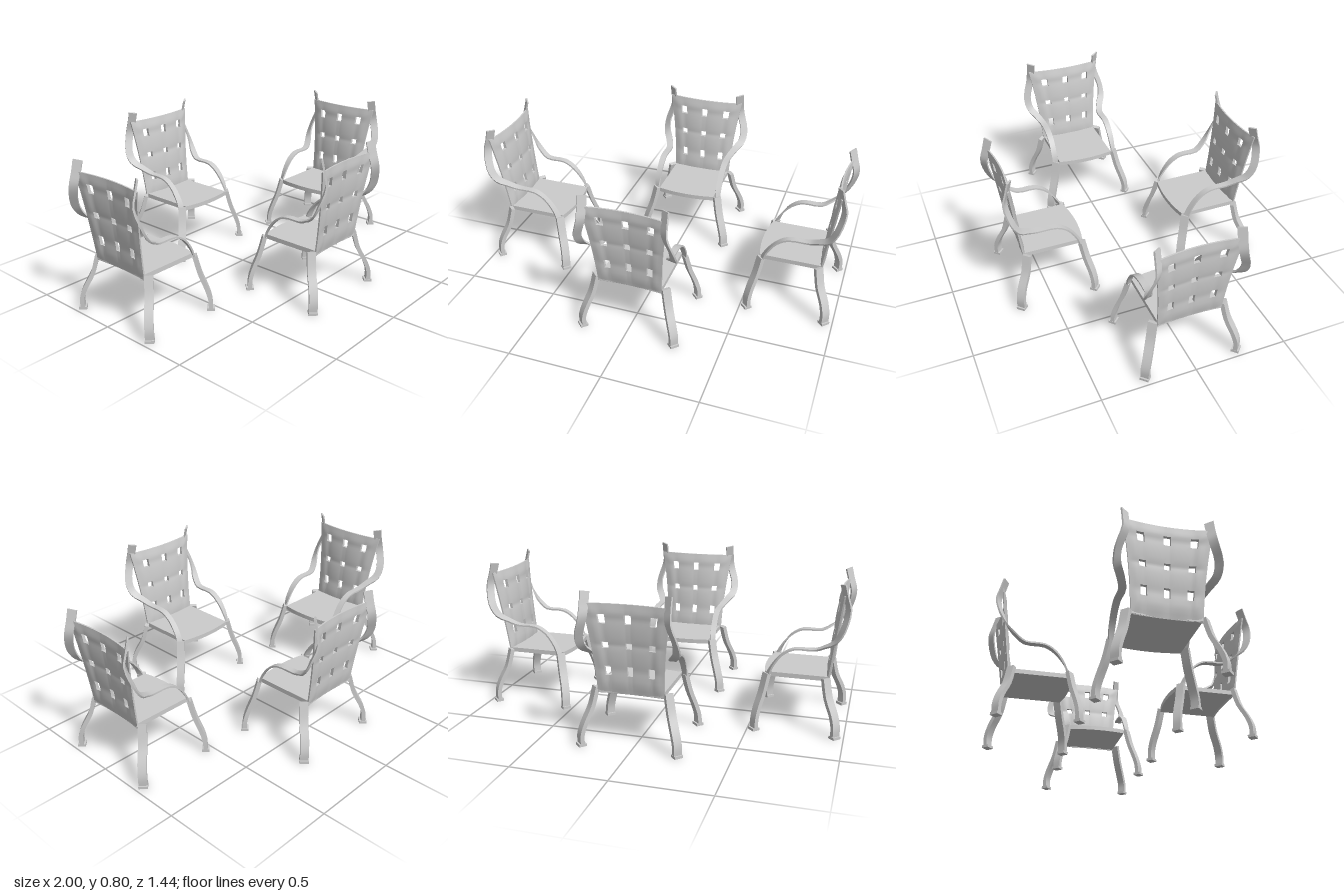
import * as THREE from 'three';
import { toCreasedNormals } from 'three/addons/utils/BufferGeometryUtils.js';

const material = new THREE.MeshStandardMaterial({ color: 0xcccccc, side: THREE.DoubleSide });
const lerp = THREE.MathUtils.lerp;

function fromTriangles(pos) {
  const g = new THREE.BufferGeometry();
  g.setAttribute('position', new THREE.Float32BufferAttribute(pos, 3));
  return toCreasedNormals(g, 0.7);
}

function quad(pos, a, b, c, d) {
  for (const p of [a, b, c, a, c, d]) pos.push(p.x, p.y, p.z);
}

function add(group, name, geometry) {
  const mesh = new THREE.Mesh(geometry, material);
  mesh.name = name;
  group.add(mesh);
  return mesh;
}

// Flat bar swept along a curve; each row is [x, y, z, angle of the width direction in plan]
function sweepBar(rows, side, startWidth, endWidth, thickness, steps = 3) {
  const curve = new THREE.CatmullRomCurve3(rows.map(r => new THREE.Vector3(r[0] * side, r[1], r[2])));
  const count = (rows.length - 1) * steps;
  const rings = [];
  for (let i = 0; i <= count; i++) {
    const t = i / count, k = Math.min(Math.floor(i / steps), rows.length - 2);
    const angle = lerp(rows[k][3], rows[k + 1][3], i / steps - k);
    const width = lerp(startWidth, endWidth, t);
    const p = curve.getPoint(t), tangent = curve.getTangent(t);
    const w = new THREE.Vector3(Math.cos(angle) * side, 0, Math.sin(angle));
    w.addScaledVector(tangent, -w.dot(tangent)).normalize();
    const n = new THREE.Vector3().crossVectors(tangent, w);
    rings.push([[-1, -1], [1, -1], [1, 1], [-1, 1]].map(([a, b]) =>
      p.clone().addScaledVector(w, a * width / 2).addScaledVector(n, b * thickness / 2)));
  }
  const pos = [];
  for (let i = 0; i < count; i++)
    for (let j = 0; j < 4; j++) {
      const m = (j + 1) % 4;
      quad(pos, rings[i][j], rings[i][m], rings[i + 1][m], rings[i + 1][j]);
    }
  const [a, b, c, d] = rings[0], [e, f, g, h] = rings[count];
  quad(pos, d, c, b, a);
  quad(pos, e, f, g, h);
  return fromTriangles(pos);
}

// Quilted back panel: a 7 x 7 layout where odd/odd regions are the openings
function backPanel() {
  const sub = 4, n = 7 * sub;
  const xs = [-1, -0.72, -0.54, -0.085, 0.085, 0.54, 0.72, 1];
  const ys = [0.275, 0.375, 0.425, 0.518, 0.55, 0.645, 0.692, 0.745];
  const at = (list, i) => {
    const k = Math.min(Math.floor(i / sub), 6);
    return lerp(list[k], list[k + 1], i / sub - k);
  };
  const point = (i, j, face) => {
    const s = at(xs, i), y = at(ys, j), v = (y - 0.275) / 0.47;
    const half = 0.172 + 0.012 * v + 0.038 * v * v;
    // Pinched at the openings, padded between them
    const a = Math.cos(Math.PI * (i / sub - 1.5)), b = Math.cos(Math.PI * (j / sub - 1.5));
    const pad = (1 - Math.max(a, 0) * Math.max(b, 0)) * (0.6 - 0.2 * (a + b));
    const edge = Math.max(0, Math.min(1, (1 - Math.abs(s)) * 5, Math.min(v, 1 - v) * 9));
    const z = -0.138 - 0.047 * v - (0.01 + 0.014 * v) * s * s;
    return new THREE.Vector3(s * half, y, z + face * (0.004 + 0.009 * pad * edge));
  };
  const odd = i => Math.floor(i / sub) % 2 === 1;
  const solid = (i, j) => i >= 0 && j >= 0 && i < n && j < n && !(odd(i) && odd(j));
  const pos = [];
  for (let i = 0; i < n; i++)
    for (let j = 0; j < n; j++) {
      if (!solid(i, j)) continue;
      const c = [[i, j], [i + 1, j], [i + 1, j + 1], [i, j + 1]];
      const front = c.map(q => point(...q, 1)), back = c.map(q => point(...q, -1));
      quad(pos, ...front);
      quad(pos, back[3], back[2], back[1], back[0]);
      // Rims along the outside and around the openings
      [[0, -1], [1, 0], [0, 1], [-1, 0]].forEach(([di, dj], k) => {
        const m = (k + 1) % 4;
        if (!solid(i + di, j + dj)) quad(pos, back[k], back[m], front[m], front[k]);
      });
    }
  return fromTriangles(pos);
}

// Seat slab with a bowed front edge
function seatSlab() {
  const s = new THREE.Shape();
  s.moveTo(-0.168, -0.178);
  s.quadraticCurveTo(0, -0.216, 0.168, -0.178);
  s.lineTo(0.168, 0.155);
  s.quadraticCurveTo(0, 0.13, -0.168, 0.155);
  s.closePath();
  const g = new THREE.ExtrudeGeometry(s, { depth: 0.024, bevelEnabled: false, curveSegments: 8 });
  return g.rotateX(-Math.PI / 2).translate(0, 0.278, 0);
}

const Q = Math.PI / 4;
const frontLeg = [
  [0.25, 0.005, 0.215, -Q], [0.247, 0.06, 0.214, -Q], [0.232, 0.12, 0.205, -Q],
  [0.208, 0.2, 0.185, -Q], [0.188, 0.3, 0.167, -Q]];
const backLeg = [
  [0.25, 0.005, -0.203, Q], [0.25, 0.06, -0.204, Q], [0.235, 0.12, -0.19, Q],
  [0.208, 0.2, -0.157, Q], [0.188, 0.3, -0.137, Q]];
// Arm rises from the front leg, runs back level, then turns up behind the panel
const arm = [
  [0.19, 0.27, 0.17, -Q], [0.19, 0.34, 0.142, -0.3], [0.19, 0.41, 0.09, 0],
  [0.19, 0.445, 0.03, 0], [0.19, 0.45, -0.075, 0], [0.212, 0.478, -0.13, -0.1],
  [0.24, 0.515, -0.178, -0.4], [0.243, 0.575, -0.21, -0.65], [0.213, 0.675, -0.23, -0.65],
  [0.209, 0.74, -0.213, -0.65], [0.209, 0.8, -0.197, -0.65]];

function createChair() {
  const chair = new THREE.Group();
  chair.name = 'chair';
  add(chair, 'seat', seatSlab());
  add(chair, 'backPanel', backPanel());
  for (const side of [1, -1]) {
    const label = side > 0 ? 'left' : 'right';
    add(chair, label + 'Arm', sweepBar(arm, side, 0.03, 0.047, 0.009));
    for (const [name, rows, turn] of [['Front', frontLeg, 1], ['Back', backLeg, -1]]) {
      add(chair, label + name + 'Leg', sweepBar(rows, side, 0.044, 0.044, 0.022));
      const foot = add(chair, label + name + 'Foot', new THREE.BoxGeometry(0.046, 0.014, 0.04));
      foot.position.set(rows[0][0] * side, 0.007, rows[0][2]);
      foot.rotation.y = Q * turn * side;
    }
  }
  return chair;
}

export function createModel() {
  const model = new THREE.Group();
  model.name = 'chairSet';
  // Four chairs facing the middle
  const places = [
    [0.012, -0.477, 0], [0.012, 0.473, Math.PI],
    [0.752, 0.005, -Math.PI / 2], [-0.752, 0.005, Math.PI / 2]];
  for (const [x, z, turn] of places) {
    const chair = createChair();
    chair.position.set(x, 0, z);
    chair.rotation.y = turn;
    model.add(chair);
  }
  return model;
}
